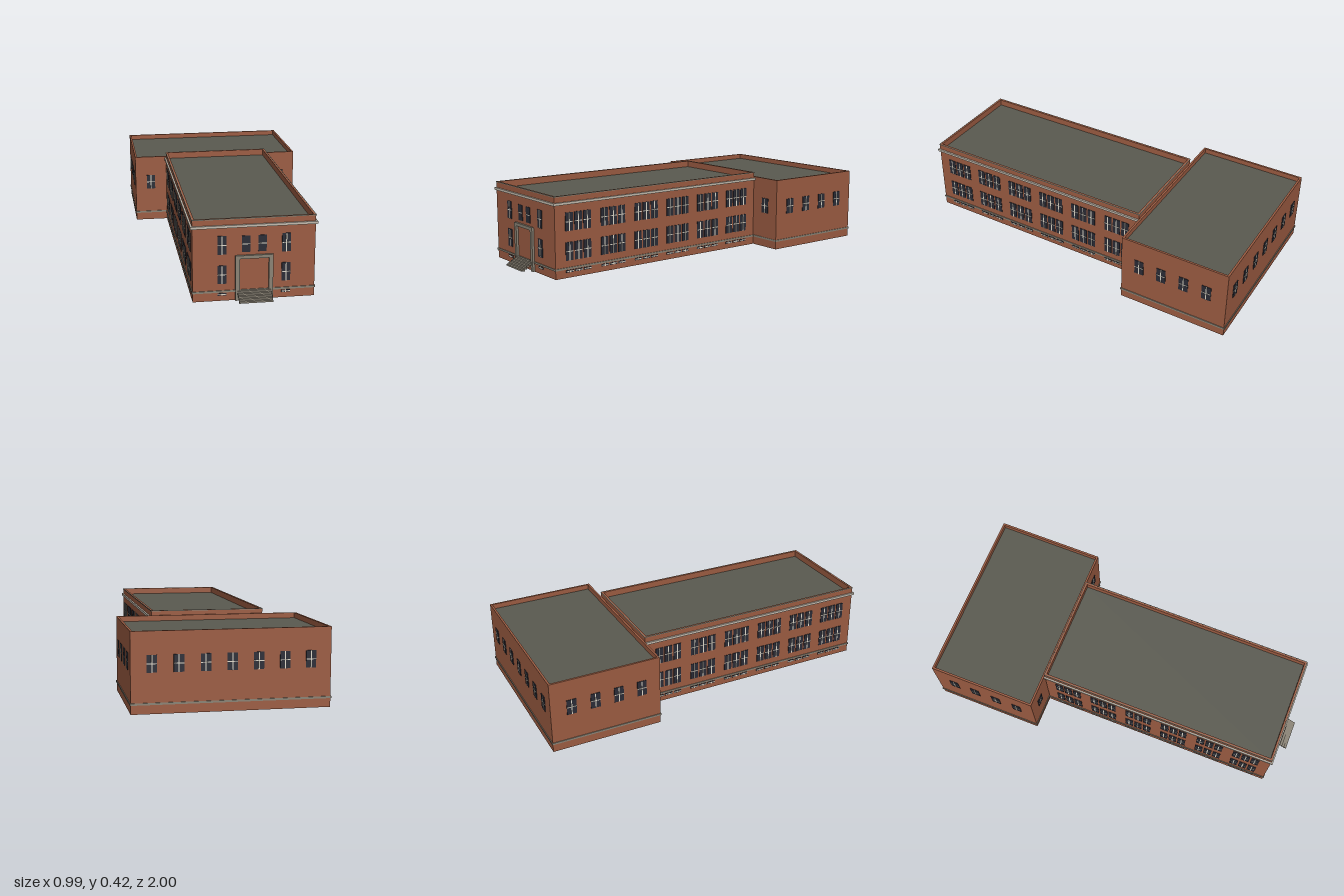
import * as THREE from 'three';

const mat = (name, color, side = THREE.FrontSide) => {
  const m = new THREE.MeshStandardMaterial({ color, side });
  m.name = name;
  return m;
};

export function createModel() {
  const brick = mat('brick', 0x9c5c42);
  const stone = mat('stone', 0x8a8375);
  const pale = mat('pale stone', 0xc2baad);
  const roofing = mat('roofing', 0x5a5a50);
  const glass = mat('dark glass', 0x2a2c36);
  const bar = mat('window bar', 0xe0dacb);

  const model = new THREE.Group();
  model.name = 'building';

  function box(parent, name, material, w, h, d, x, y, z) {
    const m = new THREE.Mesh(new THREE.BoxGeometry(w, h, d), material);
    m.name = name;
    m.position.set(x, y, z);
    parent.add(m);
    return m;
  }

  // Rectangular ring: plan rectangle grown by `out`, wall thickness t, from y0 to y1
  function ring(parent, name, material, r, out, t, y0, y1) {
    const rect = (P, g) => {
      const p = new P();
      p.moveTo(-r.x - g, -r.z1 - g);
      p.lineTo(r.x + g, -r.z1 - g);
      p.lineTo(r.x + g, -r.z0 + g);
      p.lineTo(-r.x - g, -r.z0 + g);
      p.closePath();
      return p;
    };
    const shape = rect(THREE.Shape, out);
    shape.holes.push(rect(THREE.Path, out - t));
    const g = new THREE.ExtrudeGeometry(shape, { depth: y1 - y0, bevelEnabled: false });
    g.rotateX(-Math.PI / 2);
    const m = new THREE.Mesh(g, material);
    m.name = name;
    m.position.y = y0;
    parent.add(m);
  }

  // Hollow block with parapet, recessed roof and stone belt, open underneath
  function block(name, r, height, roofY) {
    const g = new THREE.Group();
    g.name = name;
    model.add(g);
    ring(g, 'brickWalls', brick, r, 0, 0.011, 0, height);
    box(g, 'flatRoof', roofing, 2 * r.x - 0.02, 0.006, r.z1 - r.z0 - 0.02,
      0, roofY - 0.003, (r.z0 + r.z1) / 2);
    ring(g, 'stoneBelt', stone, r, 0.004, 0.006, 0.044, 0.054);
    return g;
  }

  const wingPlan = { x: 0.302, z0: -0.395, z1: 0.93 };
  const hallPlan = { x: 0.488, z0: -0.998, z1: -0.398 };
  const wing = block('frontWing', wingPlan, 0.42, 0.385);
  const hall = block('rearHall', hallPlan, 0.395, 0.367);
  ring(wing, 'cornice', pale, wingPlan, 0.009, 0.011, 0.375, 0.388);
  ring(wing, 'parapetTrim', stone, wingPlan, 0.002, 0.004, 0.416, 0.4205);

  // Window: thin glass plate with crossing bars, facing +z before rotation
  function windowUnit(parent, x, y, z, turn, w, h, upright = true) {
    const g = new THREE.Group();
    g.name = 'window';
    box(g, 'glassPane', glass, w, h, 0.004, 0, 0, 0.001);
    box(g, 'crossBar', bar, w, 0.004, 0.002, 0, 0, 0.0035);
    if (upright) box(g, 'uprightBar', bar, 0.005, h, 0.002, 0, 0, 0.0037);
    g.position.set(x, y, z);
    g.rotation.y = turn;
    parent.add(g);
  }
  const rows = [[0.287, 0.094], [0.136, 0.094], [0.034, 0.012]];

  for (const s of [-1, 1]) {
    const turn = s * Math.PI / 2;
    // Wing front
    for (const [y, h] of rows) windowUnit(wing, s * 0.158, y, wingPlan.z1, 0, 0.043, h);
    windowUnit(wing, s * 0.04, 0.289, wingPlan.z1, 0, 0.041, 0.083, false);
    // Wing sides: six bays of triple windows on each storey
    for (let bay = 0; bay < 6; bay++) {
      for (const k of [-1, 0, 1]) {
        for (const [y, h] of rows) {
          windowUnit(wing, s * wingPlan.x, y, 0.795 - bay * 0.211 + k * 0.053, turn, 0.044, h);
        }
      }
    }
    // Hall front and sides
    windowUnit(hall, s * 0.396, 0.239, hallPlan.z1, 0, 0.05, 0.084);
    for (let i = 0; i < 4; i++) {
      windowUnit(hall, s * hallPlan.x, 0.24, -0.502 - i * 0.128, turn, 0.052, 0.084);
    }
  }
  // Hall back
  for (let i = -3; i <= 3; i++) {
    windowUnit(hall, i * 0.129, 0.24, hallPlan.z0, Math.PI, 0.05, 0.084);
  }

  // Entrance surround, passing through the wall
  const entrance = new THREE.Group();
  entrance.name = 'entrance';
  model.add(entrance);
  for (const s of [-1, 1]) {
    box(entrance, 'doorJamb', stone, 0.021, 0.232, 0.026, s * 0.0825, 0.116, 0.929);
  }
  box(entrance, 'doorLintel', stone, 0.144, 0.017, 0.026, 0, 0.2235, 0.929);
  box(entrance, 'innerDoor', glass, 0.1, 0.12, 0.004, 0, 0.11, 0.917);

  // Thin open-backed flight of steps
  for (let i = 0; i < 5; i++) {
    box(entrance, 'step', stone, 0.166, 0.0085, 0.018, 0, 0.0125 + i * 0.0085, 0.991 - i * 0.0133);
  }

  return model;
}
